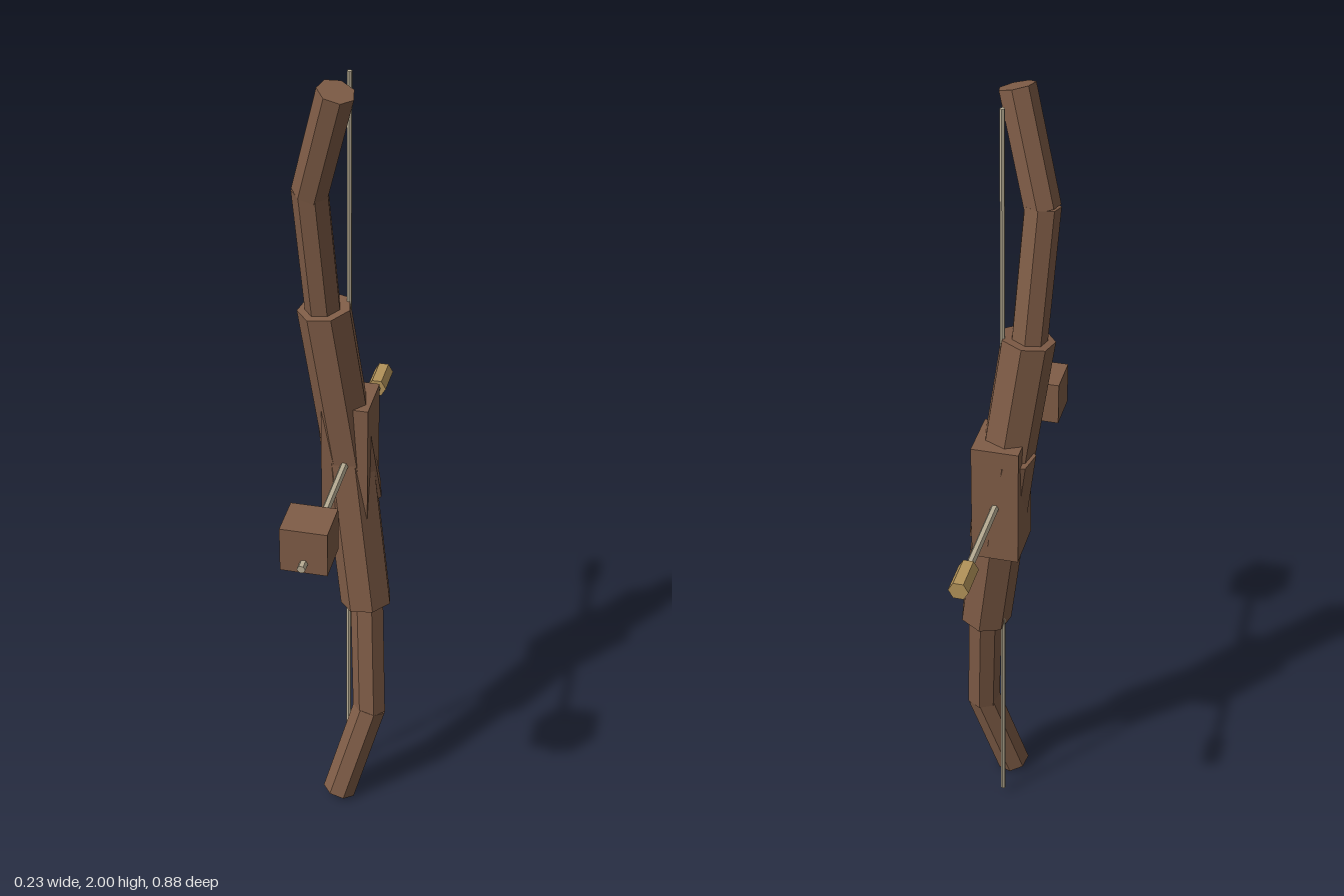
import * as THREE from 'three';

const UP = new THREE.Vector3(0, 1, 0);

// straight faceted rod between two points
function rod(name, from, to, radius, sides, start, material) {
  const a = new THREE.Vector3(...from), b = new THREE.Vector3(...to);
  const dir = b.clone().sub(a);
  const geometry = new THREE.CylinderGeometry(radius, radius, dir.length(), sides, 1, false, start);
  const mesh = new THREE.Mesh(geometry, material);
  mesh.name = name;
  mesh.position.copy(a).add(b).multiplyScalar(0.5);
  mesh.quaternion.setFromUnitVectors(UP, dir.normalize());
  return mesh;
}

function block(name, size, position, material) {
  const mesh = new THREE.Mesh(new THREE.BoxGeometry(...size), material);
  mesh.name = name;
  mesh.position.set(...position);
  return mesh;
}

export function createModel() {
  const paint = (name, color) => {
    const m = new THREE.MeshStandardMaterial({ color, flatShading: true });
    m.name = name;
    return m;
  };
  const wood = paint('brown wood', 0x805d47);
  const cord = paint('pale shaft', 0xb8ad94);
  const straw = paint('straw', 0xb3935a);

  const model = new THREE.Group();
  model.name = 'bowAndArrow';

  // one limb in three heptagonal lengths, relative to the bow's middle;
  // the other is the same limb turned half way round
  for (const side of ['upper', 'lower']) {
    const limb = new THREE.Group();
    limb.name = side + 'Limb';
    limb.add(
      rod('innerLimb', [0.018, -0.12, -0.055], [-0.052, 0.415, -0.013], 0.065, 7, Math.PI, wood),
      rod('middleLimb', [-0.053, 0.38, -0.016], [-0.072, 0.732, 0.031], 0.043, 7, Math.PI, wood),
      rod('limbTip', [-0.072, 0.725, 0.031], [-0.002, 0.986, 0.078], 0.043, 7, Math.PI, wood)
    );
    limb.position.y = 1;
    if (side === 'lower') limb.rotation.z = Math.PI;
    model.add(limb);
  }

  // grip and string
  model.add(block('grip', [0.114, 0.31, 0.13], [0, 1.005, -0.053], wood));
  model.add(rod('bowString', [0, 0.02, -0.04], [0, 1.985, -0.04], 0.006, 6, 0, cord));

  // arrow
  const arrow = new THREE.Group();
  arrow.name = 'arrow';
  arrow.add(
    rod('arrowShaft', [0, 1, -0.438], [0, 1, 0.437], 0.01, 6, Math.PI / 2, cord),
    rod('fletching', [0, 1, -0.44], [0, 1, -0.352], 0.024, 6, Math.PI / 2, straw),
    block('arrowHead', [0.11, 0.112, 0.105], [0, 1.03, 0.361], wood)
  );
  model.add(arrow);
  return model;
}
